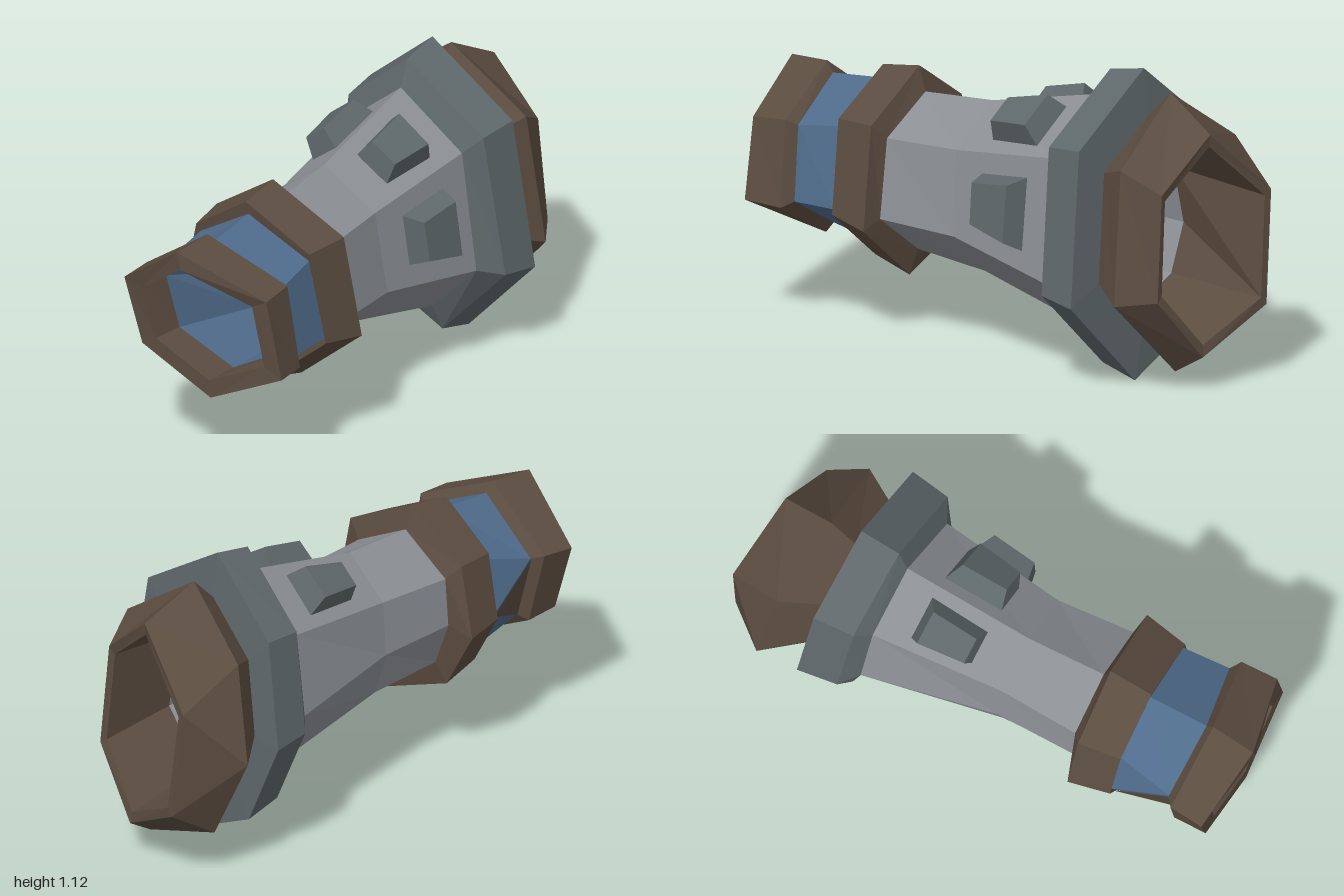
import * as THREE from 'three';

// Seven-sided cross-section as [z, y] offsets: top, front upper, front lower, bottom, back lower, back, back upper
const SECTION = [
  [-0.03, 0.57], [0.33, 0.34], [0.41, -0.225], [0.09, -0.555],
  [-0.26, -0.39], [-0.40, -0.07], [-0.325, 0.325],
];

// A ring at x, leaning by a (per y) and b (per z), with centre and scale in y and z
function ring(x, a, b, cy, sy, cz, sz) {
  return SECTION.map(([z, y]) =>
    new THREE.Vector3(x + a * y * sy + b * z * sz, cy + y * sy, cz + z * sz));
}

const points = (list) => list.map((p) => new THREE.Vector3(...p));

// A six-sided end ring; one corner is doubled so that it joins a seven-sided ring
function hexRing(list, doubled) {
  const loop = points(list);
  loop.splice(doubled, 0, loop[doubled].clone());
  return loop;
}

// Shrink a ring about (cy, cz) and move it along x
function inset(loop, k, dx, cy, cz) {
  return loop.map((p) => new THREE.Vector3(p.x + dx, cy + (p.y - cy) * k, cz + (p.z - cz) * k));
}

// Skin a row of point loops, optionally closing the last one
function loft(name, material, loops, cap = false) {
  const pos = [];
  const tri = (a, b, c) => {
    if (a.equals(b) || b.equals(c) || a.equals(c)) return;
    [a, b, c].forEach((p) => pos.push(p.x, p.y, p.z));
  };
  for (let k = 0; k < loops.length - 1; k++) {
    const p = loops[k], q = loops[k + 1];
    p.forEach((_, i) => {
      const j = (i + 1) % p.length;
      tri(p[i], p[j], q[j]);
      tri(p[i], q[j], q[i]);
    });
  }
  if (cap) {
    const l = loops[loops.length - 1];
    for (let i = 1; i < l.length - 1; i++) tri(l[0], l[i], l[i + 1]);
  }
  const geo = new THREE.BufferGeometry();
  geo.setAttribute('position', new THREE.Float32BufferAttribute(pos, 3));
  geo.computeVertexNormals();
  const mesh = new THREE.Mesh(geo, material);
  mesh.name = name;
  return mesh;
}

function mat(name, color) {
  const m = new THREE.MeshStandardMaterial({ color, flatShading: true });
  m.name = name;
  return m;
}

export function createModel() {
  const group = new THREE.Group();
  group.name = 'taperedTube';
  const brown = mat('brown', 0x5b4c40);
  const grey = mat('light grey', 0x8b8f94);
  const slate = mat('slate grey', 0x5e676a);
  const blue = mat('steel blue', 0x4f6b8b);

  // Six-sided rings of the narrow end
  const mouth = hexRing([
    [-1.0, 0.895, 0.01], [-0.91, 0.755, 0.34], [-0.9, 0.46, 0.4],
    [-0.92, 0.315, 0.1], [-0.925, 0.45, -0.2], [-0.945, 0.7, -0.265],
  ], 5);
  const mouthBack = hexRing([
    [-0.83, 0.905, 0.02], [-0.77, 0.765, 0.33], [-0.755, 0.45, 0.375],
    [-0.77, 0.295, 0.1], [-0.795, 0.44, -0.2], [-0.815, 0.71, -0.26],
  ], 5);
  const blueLeft = inset(mouthBack, 0.87, 0.03, 0.605, 0.055);
  const boreLeft = inset(mouthBack, 0.74, 0, 0.6, 0.065);

  // Six-sided rim of the wide end
  const rim = hexRing([
    [0.92, 0.95, 0], [0.88, 0.765, 0.225], [0.89, 0.375, 0.26],
    [0.935, 0.137, 0.06], [1.0, 0.285, -0.22], [0.985, 0.7, -0.265],
  ], 4);
  const bulge = points([
    [0.71, 1.06, -0.035], [0.735, 0.845, 0.28], [0.76, 0.358, 0.347], [0.82, 0.067, 0.075],
    [0.83, 0.18, -0.265], [0.805, 0.49, -0.41], [0.77, 0.85, -0.325],
  ]);

  // Seven-sided rings shared by neighbouring parts
  const blueRight = ring(-0.56, -0.05, 0.03, 0.59, 0.52, 0.035, 0.72);
  const bodyLeft = points([
    [-0.385, 0.87, 0.01], [-0.375, 0.75, 0.24], [-0.37, 0.46, 0.285], [-0.37, 0.3, 0.07],
    [-0.38, 0.4, -0.15], [-0.385, 0.565, -0.21], [-0.385, 0.745, -0.195],
  ]);
  const bodyMid = points([
    [-0.09, 0.888, -0.01], [-0.08, 0.755, 0.21], [-0.06, 0.445, 0.25], [-0.07, 0.272, 0.06],
    [-0.07, 0.39, -0.16], [-0.075, 0.555, -0.21], [-0.08, 0.755, -0.19],
  ]);
  const bodyRight = points([
    [0.4, 1.0, -0.03], [0.395, 0.82, 0.245], [0.4, 0.37, 0.305], [0.455, 0.145, 0.07],
    [0.455, 0.31, -0.21], [0.43, 0.525, -0.315], [0.415, 0.82, -0.255],
  ]);
  const hornBase = ring(0.63, -0.055, -0.05, 0.56, 0.7, -0.01, 0.68);

  // Rings of the hollow bore
  const boreBand = ring(-0.4, -0.03, 0.03, 0.575, 0.385, 0.04, 0.48);
  const boreMid = ring(-0.08, -0.03, 0, 0.575, 0.43, 0.025, 0.49);
  const boreRight = ring(0.6, -0.05, -0.05, 0.555, 0.54, -0.01, 0.54);

  // Narrow end collar, from the bore over the rim to the outside
  group.add(loft('narrowEndCollar', brown, [
    boreLeft, inset(mouth, 0.77, 0, 0.605, 0.065), mouth, mouthBack, blueLeft,
  ]));

  // Neck, with a thin brown triangle on its back
  group.add(loft('blueNeck', blue, [blueLeft, blueRight]));
  const patch = [blueLeft[4], blueLeft[5], blueRight[5]].map((p) => p.clone().setZ(p.z - 0.005));
  group.add(loft('neckBackPatch', brown, [patch], true));

  group.add(loft('brownBand', brown, [
    blueRight,
    ring(-0.565, -0.05, 0.03, 0.59, 0.605, 0.03, 0.75),
    ring(-0.4, -0.04, 0.05, 0.58, 0.667, 0.03, 0.83),
    bodyLeft,
  ]));

  group.add(loft('body', grey, [bodyLeft, bodyMid, bodyRight]));

  group.add(loft('slateCollar', slate, [
    bodyRight,
    ring(0.467, -0.06, -0.05, 0.565, 0.94, 0, 0.95),
    ring(0.62, -0.055, -0.05, 0.56, 1, 0, 1),
    hornBase,
  ]));

  // Flared end: bulge, rim and inside of the opening
  group.add(loft('wideEnd', brown, [
    hornBase, bulge, rim, inset(rim, 0.89, -0.005, 0.54, 0), boreRight,
  ]));

  // Inner walls
  group.add(loft('bodyBore', grey, [boreRight, boreMid, boreBand]));
  group.add(loft('neckBore', blue, [boreBand, boreLeft]));

  // Tapered studs on the two upper faces and the front face
  const along = (i, u) => bodyMid[i].clone().lerp(bodyRight[i], u);
  const names = { 0: 'upperFrontStud', 1: 'frontStud', 6: 'upperBackStud' };
  for (const side of [0, 1, 6]) {
    const next = (side + 1) % SECTION.length;
    const base = [[0.27, 0.2], [0.27, 0.78], [0.76, 0.84], [0.76, 0.17]].map(([u, v]) =>
      along(side, u).lerp(along(next, u), v));
    const normal = base[1].clone().sub(base[0]).cross(base[3].clone().sub(base[0])).normalize();
    const centre = base.reduce((s, p) => s.add(p), new THREE.Vector3()).multiplyScalar(0.25);
    const shift = (p, k, h) => p.clone().sub(centre).multiplyScalar(k).add(centre).addScaledVector(normal, h);
    group.add(loft(names[side], slate, [
      base.map((p) => shift(p, 1, -0.02)),
      base.map((p) => shift(p, 0.74, 0.08)),
    ], true));
  }
  return group;
}
